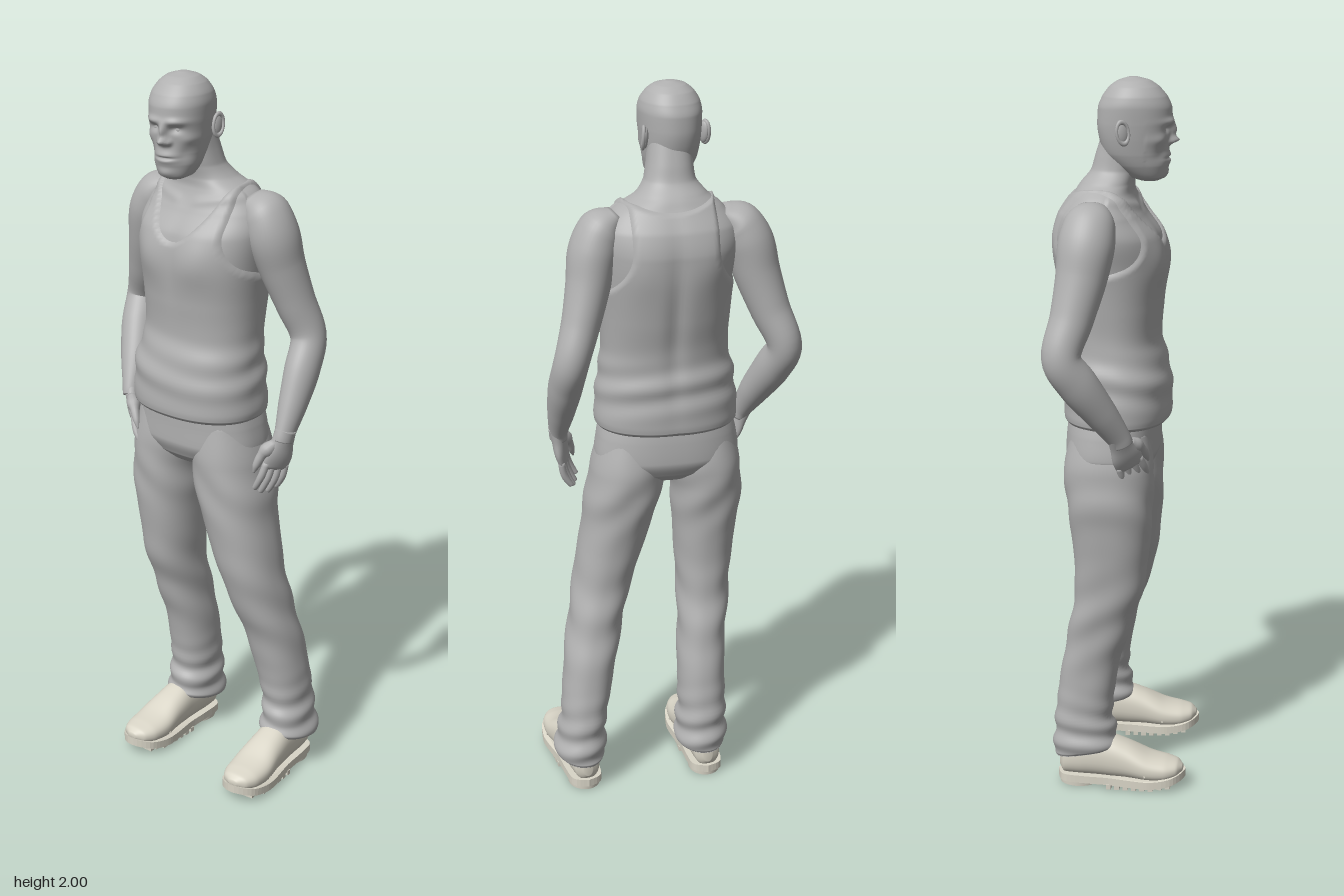
import * as THREE from 'three';

const grey = new THREE.MeshStandardMaterial({ color: 0xb0b0b0 });
grey.name = 'figure grey';
const cream = new THREE.MeshStandardMaterial({ color: 0xd9d5c7 });
cream.name = 'shoe cream';

const bell = (v, c, s) => Math.exp(-(((v - c) / s) ** 2));
const step = THREE.MathUtils.smoothstep;

// Smooth skin through sections [x, y, z, radiusU, radiusW]; rings follow the path or a fixed axis
function loft(sections, { axis = null, sides = 40, steps = 60, n = 2 } = {}) {
  const path = new THREE.CatmullRomCurve3(sections.map(s => new THREE.Vector3(s[0], s[1], s[2])));
  const radii = new THREE.CatmullRomCurve3(sections.map(s => new THREE.Vector3(s[3], s[4], 0)));
  const pos = [], index = [];
  const round = v => Math.sign(v) * Math.abs(v) ** (2 / n);
  for (let i = 0; i <= steps; i++) {
    const c = path.getPoint(i / steps), r = radii.getPoint(i / steps);
    const t = axis ? axis.clone() : path.getTangent(i / steps);
    const u = new THREE.Vector3(1, 0, 0).addScaledVector(t, -t.x).normalize();
    const w = u.clone().cross(t);
    for (let j = 0; j < sides; j++) {
      const a = (j / sides) * Math.PI * 2;
      const p = c.clone().addScaledVector(u, round(Math.cos(a)) * r.x).addScaledVector(w, round(Math.sin(a)) * r.y);
      pos.push(p.x, p.y, p.z);
      const k = (j + 1) % sides, A = i * sides + j, B = i * sides + k;
      if (i < steps) index.push(A, A + sides, B, B, A + sides, B + sides);
    }
  }
  const start = pos.length / 3, last = steps * sides;
  for (const c of [path.getPoint(0), path.getPoint(1)]) pos.push(c.x, c.y, c.z);
  for (let j = 0; j < sides; j++) {
    const k = (j + 1) % sides;
    index.push(start, j, k, start + 1, last + k, last + j);
  }
  const geo = new THREE.BufferGeometry();
  geo.setAttribute('position', new THREE.Float32BufferAttribute(pos, 3));
  geo.setIndex(index);
  geo.computeVertexNormals();
  return geo;
}

// Move each vertex along its normal by rule(x, y, z)
function push(geo, rule) {
  const p = geo.attributes.position, q = geo.attributes.normal;
  for (let i = 0; i < p.count; i++) {
    const d = rule(p.getX(i), p.getY(i), p.getZ(i));
    p.setXYZ(i, p.getX(i) + q.getX(i) * d, p.getY(i) + q.getY(i) * d, p.getZ(i) + q.getZ(i) * d);
  }
  geo.computeVertexNormals();
  return geo;
}

// Raise each vertex by rule(y, z)
function lift(geo, rule) {
  const p = geo.attributes.position;
  for (let i = 0; i < p.count; i++) p.setY(i, p.getY(i) + rule(p.getY(i), p.getZ(i)));
  geo.computeVertexNormals();
  return geo;
}

function add(parent, name, geo, material = grey) {
  const mesh = new THREE.Mesh(geo, material);
  mesh.name = name;
  parent.add(mesh);
  return mesh;
}

const UP = new THREE.Vector3(0, 1, 0);

function torsoGeometry() {
  const geo = loft([
    [0, 1.08, -.01, .188, .138], [0, 1.1, -.01, .19, .14], [0, 1.2, -.01, .182, .136],
    [.005, 1.3, -.02, .166, .12], [.005, 1.4, -.026, .17, .132], [.005, 1.5, -.029, .18, .143],
    [0, 1.58, -.037, .192, .138], [0, 1.64, -.05, .182, .112], [0, 1.69, -.047, .142, .083],
    [-.01, 1.72, -.038, .095, .072], [-.01, 1.755, -.02, .068, .062], [-.012, 1.8, -.008, .061, .06],
    [-.015, 1.87, .01, .055, .055],
  ], { axis: UP, sides: 112, steps: 130, n: 2.3 });
  // Chest, spine, shoulder blades and collar bones
  return push(geo, (x, y, z) => z > -.02
    ? .01 * bell(Math.abs(x), .075, .05) * bell(y, 1.52, .06) - .004 * bell(x, 0, .02) * bell(y, 1.5, .1)
      + .004 * bell(y, 1.655 + Math.abs(x) * .2, .012) * step(Math.abs(x), .01, .04)
    : -.01 * bell(x, 0, .025) * bell(y, 1.4, .2) + .006 * bell(Math.abs(x), .09, .05) * bell(y, 1.55, .07));
}

// Tank top: dips under the skin outside the neckline and armholes
function shirtGeometry() {
  return push(torsoGeometry(), (x, y, z) => {
    const f = step(z, -.1, .02);
    const neck = 1.69 - .13 * f + (2 + 9 * f) * x * x - y;
    const arm = .115 + .022 * f + 4 * Math.max(0, 1.6 - y) ** 2 - Math.abs(x);
    const folds = .004 * Math.sin(y * 75 + x * 9 + z * 14) * bell(y, 1.2, .07);
    return THREE.MathUtils.clamp(Math.min(neck, arm) * .7, -.012, .007) + folds;
  });
}

function buildHead(root) {
  const head = new THREE.Group();
  head.name = 'head';
  head.position.set(-.023, 0, .03);
  head.rotation.y = .17;
  // Rows: height, front, back, half width
  const rows = [[1.728, .1, .05, .025], [1.738, .116, .02, .045], [1.77, .123, -.02, .062], [1.8, .126, -.045, .07],
    [1.84, .128, -.058, .076], [1.88, .136, -.063, .08], [1.92, .135, -.061, .082], [1.95, .122, -.049, .077],
    [1.975, .1, -.03, .061], [1.99, .077, -.008, .042], [1.999, .045, .02, .012]];
  const skull = loft(rows.map(([y, f, b, w]) => [0, y, (f + b) / 2 - .03, w, (f - b) / 2]),
    { axis: UP, sides: 112, steps: 110, n: 2.15 });
  push(skull, (x, y, z) => {
    if (z < .03) return 0;
    const a = Math.abs(x);
    return .007 * bell(a, .03, .026) * bell(y, 1.886, .009)
      - .012 * bell(a, .032, .015) * bell(y, 1.865, .01)
      + .015 * bell(x, 0, .009) * bell(y, 1.862, .018)
      + .026 * bell(x, 0, .011) * bell(y, 1.836, .012)
      + .009 * bell(a, .014, .007) * bell(y, 1.831, .008)
      + .01 * bell(x, 0, .028) * bell(y, 1.786, .018)
      - .008 * bell(x, 0, .024) * bell(y, 1.789, .004)
      + .007 * bell(x, 0, .022) * bell(y, 1.75, .014)
      + .005 * bell(a, .056, .015) * bell(y, 1.84, .015)
      - .004 * bell(a, .05, .014) * bell(y, 1.8, .018);
  });
  add(head, 'face and skull', skull);
  for (const s of [-1, 1]) {
    const eye = add(head, 'eye', new THREE.SphereGeometry(.011, 16, 12));
    eye.position.set(s * .032, 1.864, .076);
    const ear = new THREE.Group();
    ear.name = 'ear';
    ear.position.set(s * .082, 1.862, -.03);
    ear.rotation.set(-.15, s * -.35, 0);
    add(ear, 'ear lobe', new THREE.SphereGeometry(1, 16, 12)).scale.set(.008, .029, .017);
    const rim = add(ear, 'ear rim', new THREE.TorusGeometry(.021, .005, 8, 24));
    rim.rotation.y = Math.PI / 2;
    rim.position.x = s * .005;
    rim.scale.set(.8, 1.35, 1);
    head.add(ear);
  }
  root.add(head);
}

// Hand hangs along -y, thumb to +z, palm facing the body
function buildHand(root, s, wrist, tip, turn) {
  const hand = new THREE.Group();
  hand.name = s > 0 ? 'leftHand' : 'rightHand';
  hand.position.set(...wrist);
  const dir = new THREE.Vector3(...tip).sub(hand.position).normalize();
  hand.quaternion.setFromUnitVectors(new THREE.Vector3(0, -1, 0), dir);
  hand.rotateY(turn);
  add(hand, 'palm', loft([[0, .02, 0, .025, .03], [0, -.02, 0, .021, .034], [0, -.06, 0, .018, .042],
    [-s * .003, -.09, 0, .014, .04], [-s * .004, -.1, 0, .007, .034]], { sides: 24, steps: 20 }));
  [[-.03, .07], [-.01, .085], [.011, .088], [.031, .078]].forEach(([z, len]) => add(hand, 'finger', loft([
    [-s * .002, -.082, z, .01, .01], [-s * .004, -.09 - len * .4, z * 1.1, .01, .0105],
    [-s * .012, -.09 - len * .75, z * 1.12, .009, .009], [-s * .02, -.09 - len * .97, z * 1.1, .007, .007],
    [-s * .021, -.09 - len, z * 1.1, .002, .002]], { sides: 12, steps: 16 })));
  add(hand, 'thumb', loft([[0, -.02, .02, .013, .014], [-s * .01, -.06, .045, .013, .014],
    [-s * .014, -.095, .053, .01, .011], [-s * .016, -.118, .054, .003, .003]], { sides: 14, steps: 16 }));
  root.add(hand);
}

// Trouser leg with creases at the knee and bunched cloth at the hem
function legGeometry(rows) {
  const geo = loft(rows, { axis: UP.clone().negate(), sides: 56, steps: 110, n: 2.2 });
  push(geo, (x, y, z) => .005 * Math.sin(y * 95 + z * 22 + x * 16) * bell(y, .15, .09)
    + .003 * Math.sin(y * 50 - z * 30 + x * 12) * bell(y, .5, .14)
    + .003 * Math.sin(y * 42 + x * 45) * bell(y, .86, .08));
  return lift(geo, (y, z) => (z + .09) * .35 * Math.max(0, 1 - y / .28));
}

function buildShoe(root, name, x, turn) {
  const shoe = new THREE.Group();
  shoe.name = name;
  shoe.position.x = x;
  shoe.rotation.y = turn;
  const toeUp = (y, z) => 1.6 * Math.max(0, z - .08) ** 2;
  const upper = loft([[0, .07, -.167, .012, .025], [0, .075, -.153, .036, .048], [0, .085, -.1, .046, .06],
    [0, .086, -.03, .05, .062], [0, .076, .03, .055, .053], [0, .06, .09, .061, .04], [0, .05, .14, .056, .032],
    [0, .044, .172, .04, .022], [0, .04, .188, .012, .008]],
  { axis: new THREE.Vector3(0, 0, 1), sides: 40, steps: 50, n: 2.3 });
  add(shoe, 'shoe upper', lift(upper, toeUp), cream);
  const outline = new THREE.Shape();
  outline.setFromPoints(new THREE.SplineCurve([[0, -.172], [.04, -.152], [.049, -.09], [.052, -.02], [.064, .06],
    [.065, .11], [.05, .165], [0, .195], [-.05, .165], [-.065, .11], [-.064, .06], [-.052, -.02], [-.049, -.09],
    [-.04, -.152], [0, -.172]].map(p => new THREE.Vector2(...p))).getPoints(70));
  const sole = new THREE.ExtrudeGeometry(outline, { depth: .022, bevelEnabled: false });
  sole.rotateX(Math.PI / 2).translate(0, .034, 0);
  add(shoe, 'sole', lift(sole, toeUp), cream);
  // Heel block and tread lugs
  const heel = add(shoe, 'heel', new THREE.CylinderGeometry(.046, .045, .016, 32), cream);
  heel.scale.z = 1.2;
  heel.position.set(0, .008, -.112);
  for (let i = 0; i < 8; i++) {
    const z = -.02 + i * .024, w = i > 5 ? .09 : .108;
    add(shoe, 'tread lug', new THREE.BoxGeometry(w, .014, .014), cream).position.set(0, .007 + toeUp(0, z), z);
  }
  // Raised toe cap seam
  const seam = new THREE.CatmullRomCurve3([[-.059, .045, .085], [-.042, .084, .075], [0, .101, .07],
    [.042, .084, .075], [.059, .045, .085]].map(p => new THREE.Vector3(...p)));
  add(shoe, 'toe cap seam', new THREE.TubeGeometry(seam, 24, .003, 6), cream);
  root.add(shoe);
}

export function createModel() {
  const root = new THREE.Group();
  root.name = 'standing man';
  buildHead(root);
  add(root, 'neck and chest', torsoGeometry());
  add(root, 'tank top', shirtGeometry());

  add(root, 'rightArm', loft([[-.14, 1.668, -.06, .025, .04], [-.185, 1.635, -.06, .06, .068],
    [-.214, 1.58, -.065, .068, .075], [-.236, 1.5, -.075, .063, .068], [-.269, 1.4, -.095, .054, .058],
    [-.306, 1.3, -.117, .047, .052], [-.288, 1.23, -.078, .05, .054], [-.252, 1.14, -.02, .042, .044],
    [-.226, 1.07, .022, .027, .033], [-.22, 1.05, .03, .025, .031]]));
  add(root, 'leftArm', loft([[.14, 1.675, -.055, .025, .04], [.18, 1.64, -.06, .06, .068],
    [.204, 1.58, -.065, .067, .075], [.221, 1.5, -.082, .06, .067], [.247, 1.4, -.108, .052, .058],
    [.278, 1.3, -.13, .047, .052], [.289, 1.22, -.092, .046, .053], [.295, 1.13, -.045, .037, .043],
    [.298, 1.06, -.01, .026, .032], [.297, 1.04, -.004, .025, .031]]));
  buildHand(root, -1, [-.225, 1.065, .024], [-.155, .91, .07], .5);
  buildHand(root, 1, [.298, 1.055, -.008], [.27, .88, .025], -.35);

  add(root, 'trouser seat', loft([[0, 1.13, -.012, .172, .122], [0, 1.05, -.02, .192, .127],
    [0, .99, -.022, .2, .128], [0, .95, -.022, .165, .112], [0, .925, -.02, .08, .085]],
  { axis: UP.clone().negate(), sides: 64, n: 2.4 }));
  add(root, 'rightTrouserLeg', legGeometry([[-.1, 1.06, -.018, .08, .105], [-.105, .95, -.022, .1, .123],
    [-.112, .88, -.02, .098, .121], [-.112, .8, -.016, .092, .114], [-.108, .7, -.016, .083, .104],
    [-.105, .6, -.022, .075, .096], [-.1, .5, -.045, .07, .087], [-.091, .4, -.07, .067, .082],
    [-.088, .3, -.088, .067, .08], [-.088, .2, -.098, .067, .082], [-.086, .14, -.094, .072, .09],
    [-.086, .11, -.094, .072, .092], [-.086, .1, -.094, .066, .086]]));
  add(root, 'leftTrouserLeg', legGeometry([[.1, 1.06, -.018, .08, .105], [.11, .95, -.022, .102, .123],
    [.121, .88, -.02, .104, .121], [.137, .8, -.016, .098, .114], [.162, .7, -.016, .09, .104],
    [.187, .6, -.022, .082, .096], [.21, .5, -.045, .077, .087], [.23, .4, -.07, .074, .082],
    [.246, .3, -.088, .069, .08], [.26, .2, -.098, .063, .082], [.267, .14, -.094, .07, .09],
    [.268, .11, -.094, .072, .092], [.268, .1, -.094, .066, .086]]));
  buildShoe(root, 'rightShoe', -.094, 0);
  buildShoe(root, 'leftShoe', .273, .09);
  return root;
}
